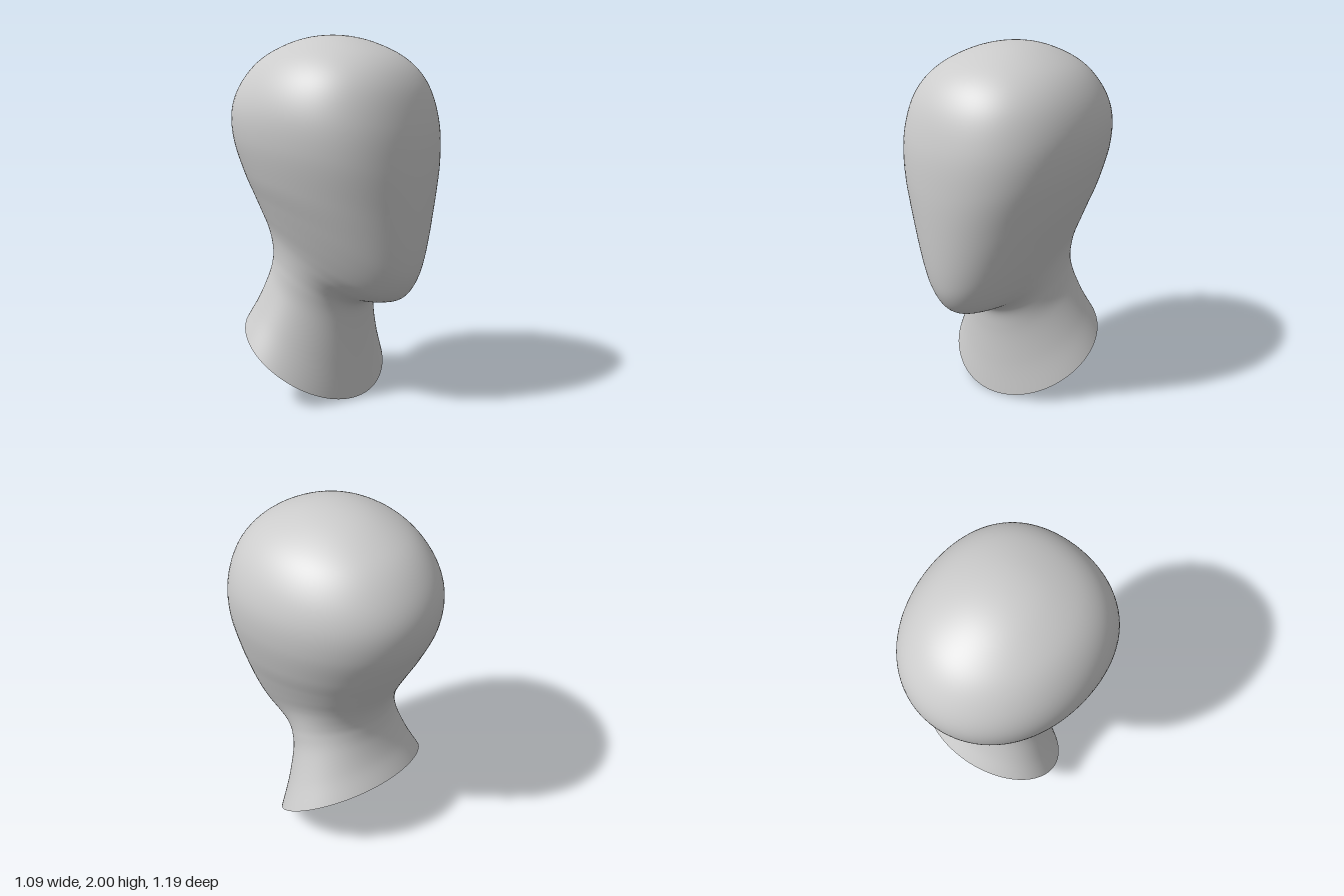
import * as THREE from 'three';

// Rings from the neck opening up to the crown:
// [front z, front y, back z, back y, half width, side y, side z, squareness]
const RINGS = [
  [0.2, 0.0, -0.457, 0.46, 0.465, 0.265, -0.13, 0],
  [0.192, 0.2, -0.387, 0.58, 0.39, 0.43, -0.11, 0],
  [0.193, 0.4, -0.341, 0.7, 0.33, 0.6, -0.085, 0],
  [0.21, 0.52, -0.327, 0.79, 0.314, 0.7, -0.06, 0],
  [0.27, 0.565, -0.33, 0.85, 0.313, 0.77, -0.045, 0],
  [0.385, 0.577, -0.343, 0.91, 0.321, 0.84, -0.03, 0],
  [0.485, 0.61, -0.366, 0.97, 0.338, 0.9, -0.015, 0],
  [0.55, 0.7, -0.4, 1.04, 0.37, 0.98, 0, 0.005],
  [0.582, 0.83, -0.437, 1.11, 0.41, 1.08, 0.018, 0.01],
  [0.6, 1.05, -0.51, 1.25, 0.462, 1.22, 0.033, 0.015],
  [0.605, 1.3, -0.585, 1.43, 0.51, 1.42, 0.045, 0.02],
  [0.585, 1.53, -0.597, 1.6, 0.512, 1.6, 0.045, 0.02],
  [0.52, 1.74, -0.533, 1.75, 0.455, 1.76, 0.04, 0.02],
  [0.4, 1.88, -0.405, 1.88, 0.345, 1.885, 0.025, 0.015],
  [0.2, 1.972, -0.205, 1.972, 0.175, 1.972, 0.008, 0.01],
  [0, 2, 0, 2, 0, 2, 0, 0],
  [-0.2, 1.972, 0.205, 1.972, -0.175, 1.972, 0.008, 0], // past the crown, keeps it round
];

function headGeometry(rows = 120, sides = 96) {
  const rail = (x, y, z) => new THREE.CatmullRomCurve3(
    RINGS.map((r) => new THREE.Vector3(r[x], r[y], r[z])), false, 'catmullrom');
  const front = rail(7, 1, 0); // x carries the squareness
  const back = rail(7, 3, 2);
  const side = rail(4, 5, 6);
  const end = (RINGS.length - 2) / (RINGS.length - 1);

  // Each ring passes through the front, side and back rails
  const positions = [];
  for (let i = 0; i < rows; i++) {
    const t = (i / rows) * end;
    const f = front.getPoint(t), b = back.getPoint(t), s = side.getPoint(t);
    const mid = f.clone().add(b).multiplyScalar(0.5);
    const half = f.clone().sub(b).multiplyScalar(0.5);
    for (let j = 0; j < sides; j++) {
      const a = (j / sides) * Math.PI * 2;
      const bulge = 1 + f.x * Math.sin(2 * a) ** 2;
      const c = Math.cos(a) * bulge, q = Math.sin(a) ** 2;
      positions.push(
        s.x * Math.sin(a) * bulge,
        mid.y + half.y * c + (s.y - mid.y) * q,
        mid.z + half.z * c + (s.z - mid.z) * q);
    }
  }
  positions.push(0, 2, 0);

  const index = [];
  for (let i = 0; i < rows; i++) {
    for (let j = 0; j < sides; j++) {
      const a = i * sides + j, b = i * sides + ((j + 1) % sides);
      if (i === rows - 1) index.push(a, b, rows * sides);
      else index.push(a, b, b + sides, a, b + sides, a + sides);
    }
  }
  const geometry = new THREE.BufferGeometry();
  geometry.setAttribute('position', new THREE.Float32BufferAttribute(positions, 3));
  geometry.setIndex(index);
  geometry.computeVertexNormals();
  return geometry;
}

export function createModel() {
  const model = new THREE.Group();
  model.name = 'mannequinHead';
  const material = new THREE.MeshStandardMaterial({ color: 0xcccccc, side: THREE.DoubleSide });

  // Head and neck as one smooth shell, open at the slanted neck rim
  const head = new THREE.Mesh(headGeometry(), material);
  head.name = 'headAndNeck';
  head.rotation.y = THREE.MathUtils.degToRad(27); // head turned to its left
  model.add(head);
  return model;
}
